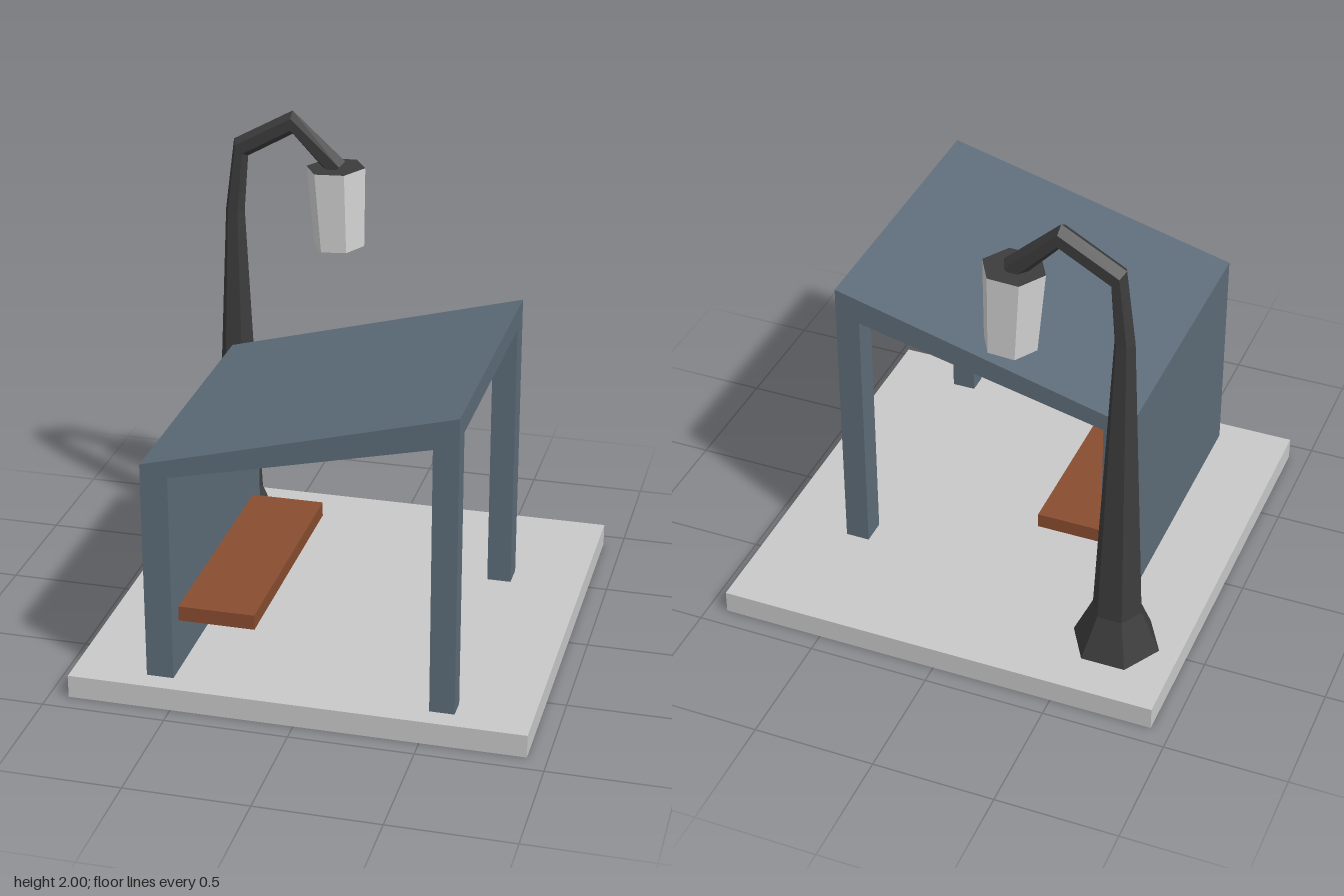
import * as THREE from 'three';

function makeMaterial(name, color) {
  const m = new THREE.MeshStandardMaterial({ color, side: THREE.DoubleSide });
  m.name = name;
  return m;
}

// Removes the level, downward-facing faces so a solid is hollow from below
function openBottom(geometry) {
  const flat = geometry.index ? geometry.toNonIndexed() : geometry;
  const p = flat.attributes.position;
  const tri = new THREE.Triangle();
  const normal = new THREE.Vector3();
  const kept = [];
  for (let i = 0; i < p.count; i += 3) {
    tri.setFromAttributeAndIndices(p, i, i + 1, i + 2);
    tri.getNormal(normal);
    if (normal.y > -0.99) for (const v of [tri.a, tri.b, tri.c]) kept.push(v.x, v.y, v.z);
  }
  const out = new THREE.BufferGeometry();
  out.setAttribute('position', new THREE.Float32BufferAttribute(kept, 3));
  out.computeVertexNormals();
  return out;
}

// Six-sided skin through rings [x, y, ux, uy, rz]: centre, in-plane radius vector, radius along z
function hexSkin(rings, z) {
  const pos = [];
  const point = ([x, y, ux, uy, rz], k) => {
    const c = Math.cos(k * Math.PI / 3), s = Math.sin(k * Math.PI / 3);
    return [x + ux * c, y + uy * c, z + rz * s];
  };
  for (let i = 0; i + 1 < rings.length; i++) {
    for (let k = 0; k < 6; k++) {
      const a = point(rings[i], k), b = point(rings[i], k + 1);
      const c = point(rings[i + 1], k), d = point(rings[i + 1], k + 1);
      pos.push(...a, ...c, ...b, ...b, ...c, ...d);
    }
  }
  const g = new THREE.BufferGeometry();
  g.setAttribute('position', new THREE.Float32BufferAttribute(pos, 3));
  g.computeVertexNormals();
  return g;
}

// Extrudes an x-y outline between two z values
function slab(points, z0, z1) {
  const shape = new THREE.Shape(points.map(([x, y]) => new THREE.Vector2(x, y)));
  return new THREE.ExtrudeGeometry(shape, { depth: z1 - z0, bevelEnabled: false }).translate(0, 0, z0);
}

export function createModel() {
  const group = new THREE.Group();
  const concrete = makeMaterial('concrete', 0xc8c8c8);
  const paint = makeMaterial('blue grey paint', 0x5c6c78);
  const wood = makeMaterial('wood', 0x884c30);
  const iron = makeMaterial('dark iron', 0x3c3c3c);
  const glass = makeMaterial('lamp glass', 0xd4d4d4);

  const add = (name, geometry, material) => {
    const mesh = new THREE.Mesh(geometry, material);
    mesh.name = name;
    group.add(mesh);
  };

  // Hollow ground slab
  add('base', openBottom(new THREE.BoxGeometry(1.84, 0.095, 1.84).translate(0, 0.0475, 0)), concrete);

  // Shelter: wall and sloping roof in one profile, then two posts below the high edge
  const zBack = -0.395, zFront = 0.835, foot = 0.045;
  add('wallAndRoof', openBottom(slab([
    [-0.62, foot], [-0.51, foot], [-0.51, 0.965], [0.52, 1.2],
    [0.62, 1.245], [0.62, 1.335], [-0.62, 1.01],
  ], zBack, zFront)), paint);
  const post = [[0.52, foot], [0.62, foot], [0.62, 1.245], [0.52, 1.2]];
  add('backPost', openBottom(slab(post, zBack, -0.289)), paint);
  add('frontPost', openBottom(slab(post, 0.75, zFront)), paint);

  // Bench
  add('bench', new THREE.BoxGeometry(0.31, 0.062, 1.039).translate(-0.355, 0.339, 0.2305), wood);

  // Street lamp: flared foot, tapering pole and bent arm
  const zLamp = -0.59;
  add('lampPole', hexSkin([
    [-0.655, 0.075, 0.19, 0, 0.19],
    [-0.655, 0.27, 0.102, 0, 0.104],
    [-0.655, 1.55, 0.041, 0, 0.048],
    [-0.625, 1.825, 0.03, -0.035, 0.046],
    [-0.4, 1.95, 0, -0.05, 0.047],
    [-0.21, 1.765, -0.033, -0.033, 0.046],
  ], zLamp), iron);

  // Lamp head: tapering glass, open below, with a dark lid
  const rim = [-0.217, 1.77, 0.126, 0.005, 0.127];
  add('lampGlass', hexSkin([[-0.203, 1.427, 0.108, 0.006, 0.11], rim], zLamp), glass);
  add('lampLid', hexSkin([rim, [-0.217, 1.77, 0, 0, 0]], zLamp), iron);

  return group;
}
